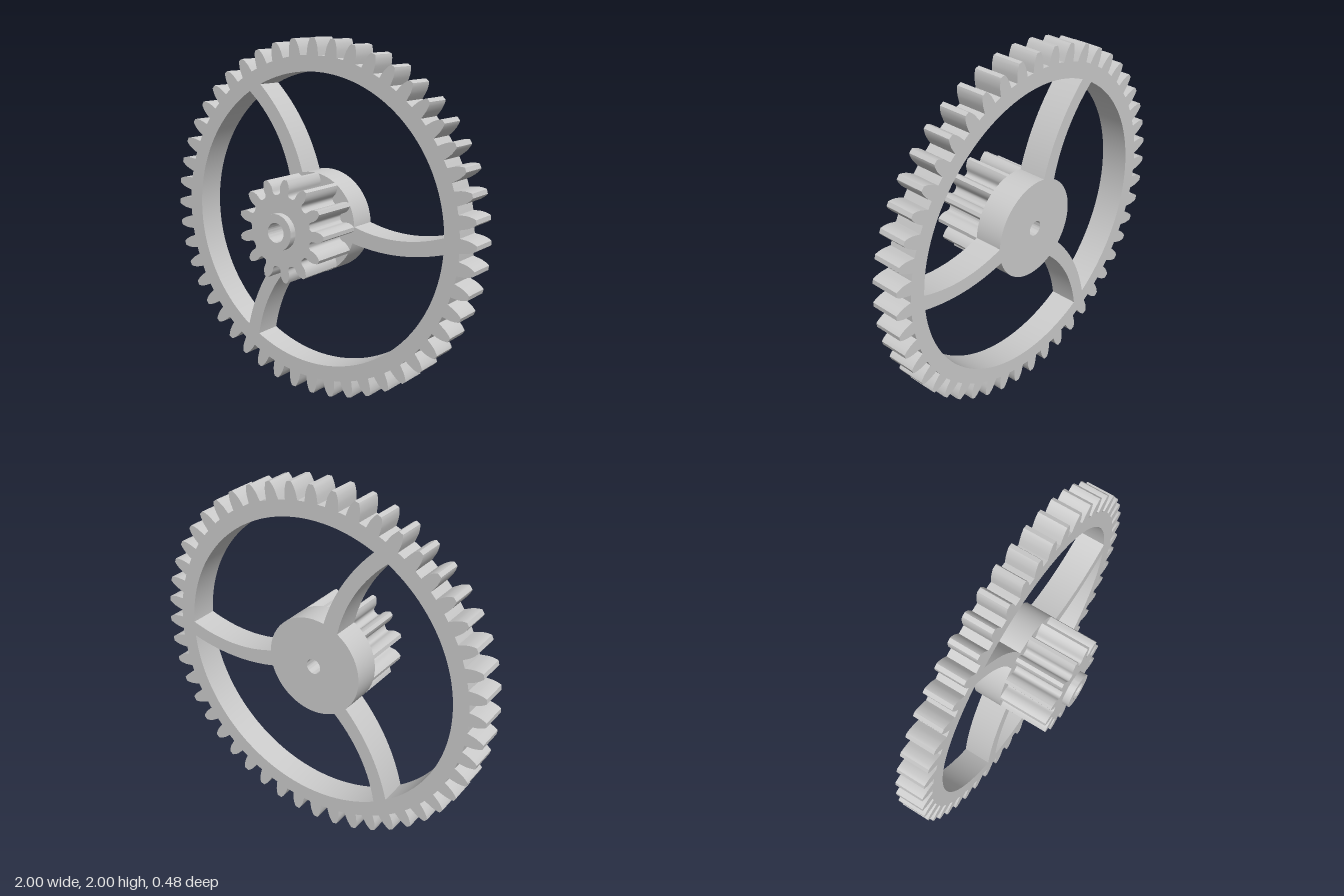
import * as THREE from 'three';
import { toCreasedNormals } from 'three/addons/utils/BufferGeometryUtils.js';

const material = new THREE.MeshStandardMaterial({ color: 0xcccccc });

// Gear outline: profile lists [radius, half width] of one tooth from root to tip.
function gearShape(teeth, profile) {
  const points = [];
  const add = (r, a) => points.push(new THREE.Vector2(r * Math.cos(a), r * Math.sin(a)));
  for (let i = 0; i < teeth; i++) {
    const a = (i / teeth) * Math.PI * 2;
    for (const [r, w] of profile) add(r, a - w / r);
    for (const [r, w] of [...profile].reverse()) add(r, a + w / r);
    add(profile[0][0], a + Math.PI / teeth);
  }
  return new THREE.Shape(points);
}

function discShape(radius) {
  return new THREE.Shape().absarc(0, 0, radius, 0, Math.PI * 2, false);
}

function withHole(shape, radius) {
  shape.holes.push(new THREE.Path().absarc(0, 0, radius, 0, Math.PI * 2, true));
  return shape;
}

// Extrudes a shape between two z positions, with smooth curves and sharp edges.
function part(name, shape, z0, z1, curveSegments = 32) {
  const extruded = new THREE.ExtrudeGeometry(shape, { depth: z1 - z0, bevelEnabled: false, curveSegments });
  extruded.translate(0, 0, z0);
  const mesh = new THREE.Mesh(toCreasedNormals(extruded, 0.5), material);
  mesh.name = name;
  return mesh;
}

export function createModel() {
  const gear = new THREE.Group();
  gear.name = 'compoundGear';
  gear.position.y = 1;

  const back = -0.24, wheelFront = -0.08, pinionFront = 0.2, bossFront = 0.24;

  // Large toothed rim
  const rimTooth = [[0.907, 0.038], [0.925, 0.036], [0.945, 0.0335], [0.96, 0.0305],
    [0.98, 0.0235], [0.995, 0.016], [1, 0.012]];
  gear.add(part('rim', withHole(gearShape(48, rimTooth), 0.82), back, wheelFront, 72));

  // Hub disc
  gear.add(part('hub', withHole(discShape(0.28), 0.043), back, wheelFront, 64));

  // Three curved spokes
  const spoke = new THREE.Shape();
  spoke.moveTo(0.25, -0.075);
  spoke.quadraticCurveTo(0.545, -0.1465, 0.84, -0.052);
  spoke.lineTo(0.85, 0.04);
  spoke.quadraticCurveTo(0.55, -0.08, 0.25, 0.02);
  spoke.closePath();
  for (let i = 0; i < 3; i++) {
    const mesh = part('spoke' + (i + 1), spoke, back, wheelFront, 16);
    mesh.rotation.z = (i * Math.PI * 2) / 3;
    gear.add(mesh);
  }

  // Small pinion with undercut teeth
  const pinionTooth = [[0.196, 0.037], [0.2, 0.031], [0.207, 0.0275], [0.217, 0.027],
    [0.23, 0.029], [0.243, 0.0285], [0.258, 0.024], [0.27, 0.0175], [0.28, 0.0105]];
  gear.add(part('pinion', withHole(gearShape(13, pinionTooth), 0.053), wheelFront, pinionFront));

  // Raised collar around the bore
  gear.add(part('collar', withHole(discShape(0.1), 0.053), pinionFront, bossFront));

  const model = new THREE.Group();
  model.name = 'gearModel';
  model.add(gear);
  return model;
}
